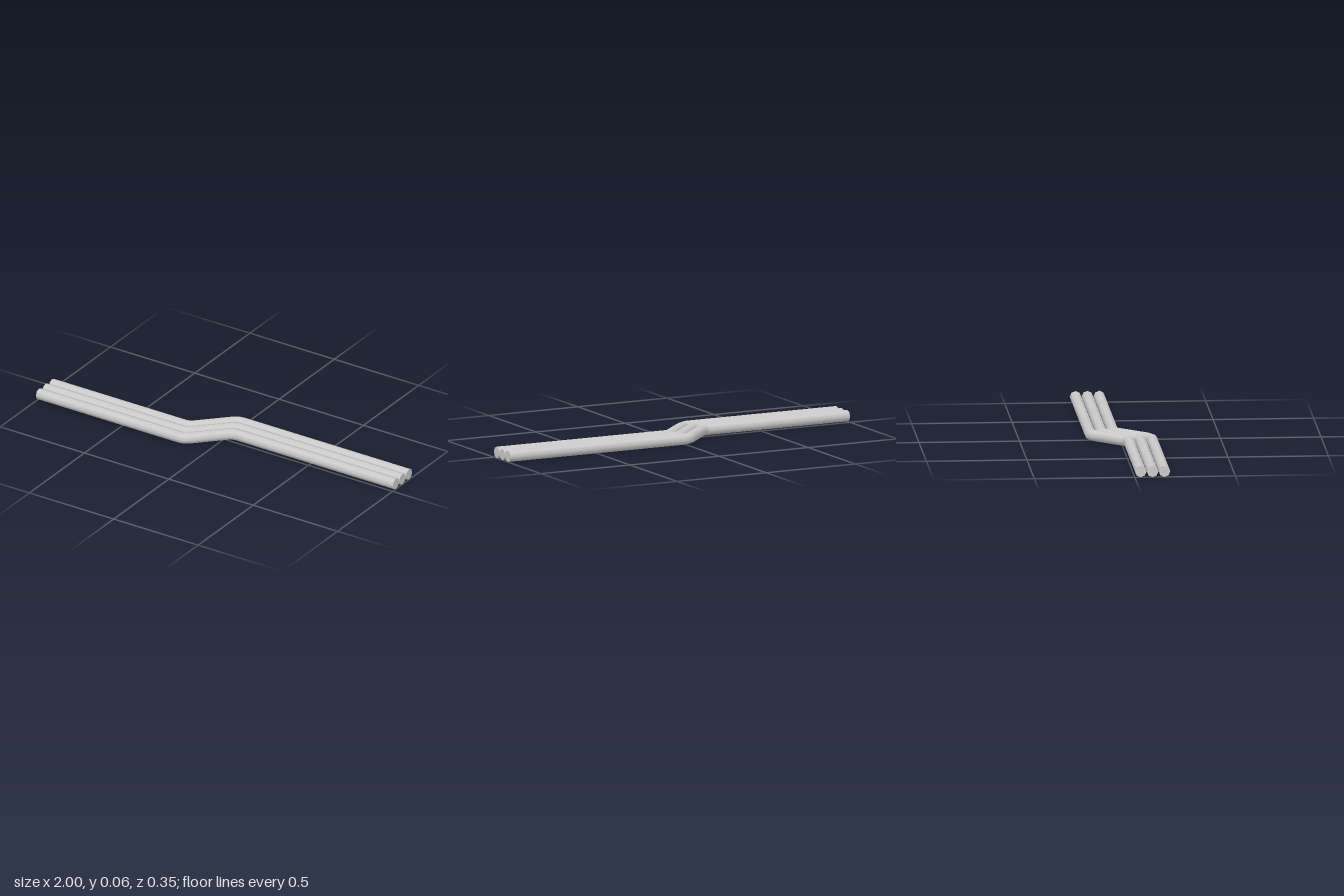
import * as THREE from 'three';

const R = 0.029;        // pipe radius
const STEP = 0.059;     // spacing between pipes
const SIDES = 8;
const BEND = 0.072;     // bend radius of the centre line
const ARC = 5;          // segments per bend

// Curve that visits fixed stations, so rings fall only at the ends and in the bends
class StationCurve extends THREE.Curve {
  constructor(stations) {
    super();
    this.stations = stations;
  }
  at(u) { return this.stations[Math.round(u * (this.stations.length - 1))]; }
  getPoint(u, target = new THREE.Vector3()) { return target.copy(this.at(u).p); }
  getPointAt(u, target) { return this.getPoint(u, target); }
  getTangentAt(u, target = new THREE.Vector3()) { return target.copy(this.at(u).t); }
}

// Straight run, 45 degree jog towards the back, straight run
function pipeStations(zLeft, zRight, c) {
  const stations = [];
  const add = (x, z, a) => stations.push({
    p: new THREE.Vector3(x, R, z),
    t: new THREE.Vector3(Math.cos(a), 0, -Math.sin(a)),
  });
  const tangent = BEND * Math.tan(Math.PI / 8);
  const x1 = c - zLeft - tangent, x2 = c - zRight + tangent;
  add(-1, zLeft, 0);
  for (let i = 0; i <= ARC; i++) {
    const a = (Math.PI / 4) * i / ARC;
    add(x1 + BEND * Math.sin(a), zLeft - BEND * (1 - Math.cos(a)), a);
  }
  for (let i = ARC; i >= 0; i--) {
    const a = (Math.PI / 4) * i / ARC;
    add(x2 - BEND * Math.sin(a), zRight + BEND * (1 - Math.cos(a)), a);
  }
  add(1, zRight, 0);
  return stations;
}

export function createModel() {
  const group = new THREE.Group();
  group.name = 'pipeBundle';
  const material = new THREE.MeshStandardMaterial({ color: 0xcccccc });

  ['backPipe', 'middlePipe', 'frontPipe'].forEach((name, i) => {
    const k = i - 1;
    const zLeft = 1.5 * STEP + k * STEP, zRight = -1.5 * STEP + k * STEP;
    const stations = pipeStations(zLeft, zRight, -0.076 + k * STEP * Math.SQRT2);
    const pipe = new THREE.Group();
    pipe.name = name;

    // Bent tube
    const tube = new THREE.Mesh(
      new THREE.TubeGeometry(new StationCurve(stations), stations.length - 1, R, SIDES), material);
    tube.name = name + 'Tube';
    pipe.add(tube);

    // Flat end caps
    for (const side of [-1, 1]) {
      const cap = new THREE.Mesh(new THREE.CircleGeometry(R, SIDES), material);
      cap.name = name + 'EndCap';
      cap.rotation.y = side * Math.PI / 2;
      cap.position.set(side, R, side < 0 ? zLeft : zRight);
      pipe.add(cap);
    }
    group.add(pipe);
  });
  return group;
}
